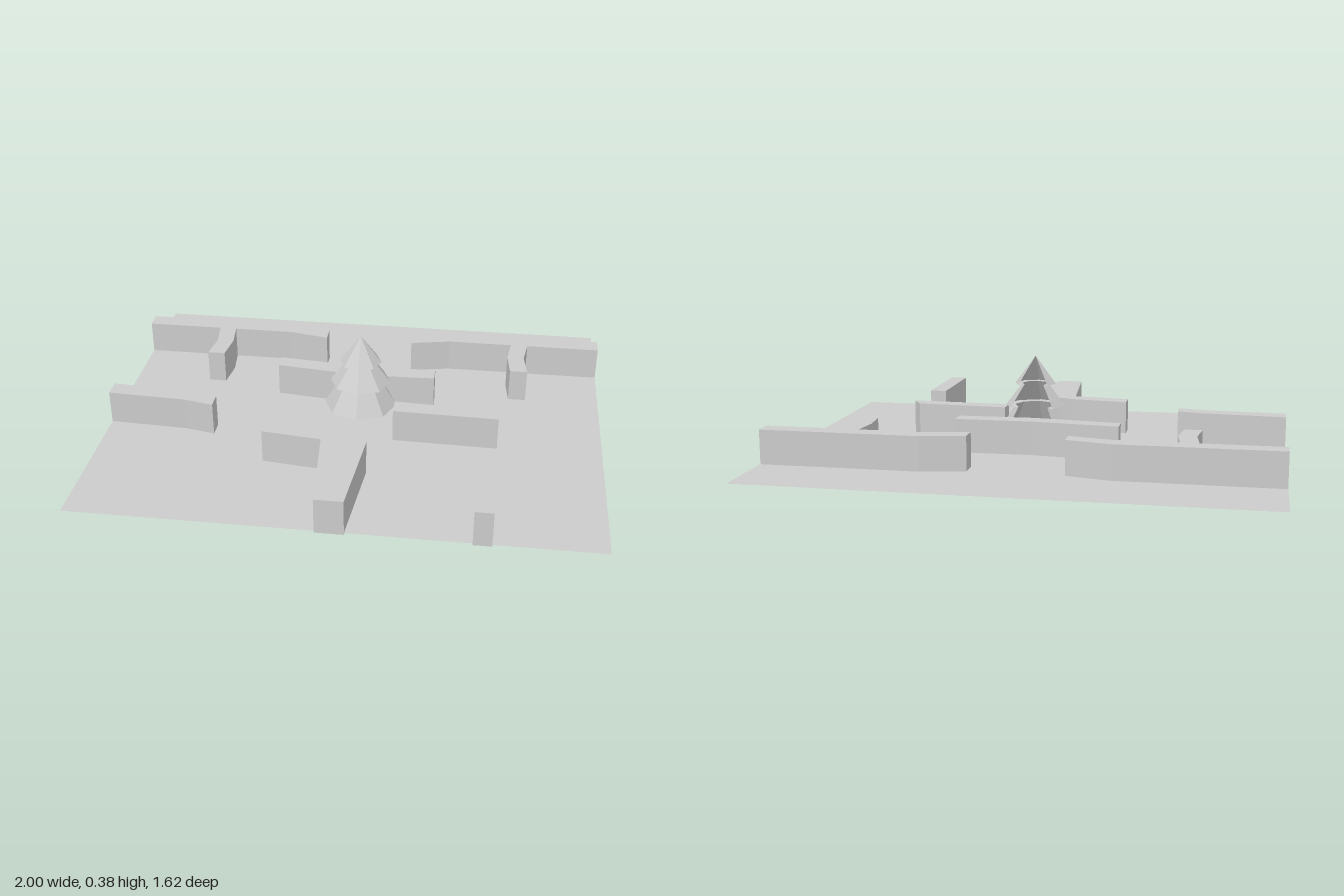
import * as THREE from 'three';

const grey = new THREE.MeshStandardMaterial({ color: 0xcccccc, flatShading: true });
const greyOpen = new THREE.MeshStandardMaterial({ color: 0xcccccc, flatShading: true, side: THREE.DoubleSide });

const WALL_HEIGHT = 0.145;

// Upright wall from a floor plan given as [x, z] corners
function wall(name, plan) {
  const shape = new THREE.Shape(plan.map(([x, z]) => new THREE.Vector2(x, -z)));
  const geo = new THREE.ExtrudeGeometry(shape, { depth: WALL_HEIGHT, bevelEnabled: false });
  geo.rotateX(-Math.PI / 2);
  const mesh = new THREE.Mesh(geo, grey);
  mesh.name = name;
  return mesh;
}

export function createModel() {
  const model = new THREE.Group();
  model.name = 'walledGarden';

  // Thin ground sheet
  const ground = new THREE.Mesh(new THREE.PlaneGeometry(2, 1.62).rotateX(-Math.PI / 2), greyOpen);
  ground.name = 'ground';
  ground.position.y = 0.008;
  model.add(ground);

  // Back walls with a bent spur each, mirrored left and right
  for (const [side, s] of [['Left', 1], ['Right', -1]]) {
    const flip = (plan) => plan.map(([x, z]) => [s * x, z]);
    model.add(wall('backWall' + side, flip([
      [0.188, -0.47], [0.365, -0.51], [1, -0.51], [1, -0.435], [0.355, -0.435], [0.188, -0.4],
    ])));
    const shift = s > 0 ? 0.015 : 0;
    model.add(wall('backWallSpur' + side, flip([
      [0.608, -0.436], [0.595, -0.32], [0.608, -0.203], [0.68, -0.203], [0.665, -0.32], [0.68, -0.436],
    ].map(([x, z]) => [x + shift, z]))));
  }

  // Free-standing walls
  model.add(wall('middleWall', [
    [-0.355, -0.2], [0, -0.165], [0.31, -0.17], [0.31, -0.1], [0, -0.09], [-0.355, -0.13],
  ]));
  model.add(wall('rightSideWall', [
    [-1, 0.11], [-0.67, 0.13], [-0.56, 0.155], [-0.56, 0.225], [-0.68, 0.2], [-1, 0.185],
  ]));
  model.add(wall('leftSideWall', [[0.165, 0.105], [0.545, 0.125], [0.585, 0.19], [0.165, 0.18]]));
  model.add(wall('frontCornerWall', [
    [-0.325, 0.315], [-0.085, 0.348], [0.088, 0.42], [0.055, 0.81],
    [-0.055, 0.81], [-0.088, 0.42], [-0.325, 0.393],
  ]));
  model.add(wall('frontShortWall', [[0.515, 0.44], [0.585, 0.44], [0.585, 0.81], [0.515, 0.81]]));

  // Three-tier fir tree shell, left open at the back
  const profile = [
    [0.148, 0.075], [0.085, 0.18], [0.123, 0.18], [0.055, 0.27], [0.085, 0.27], [0, 0.384],
  ].map(([r, y]) => new THREE.Vector2(r, y));
  const tree = new THREE.Mesh(
    new THREE.LatheGeometry(profile, 6, -Math.PI * 0.75, Math.PI * 1.5), greyOpen);
  tree.name = 'firTree';
  tree.position.set(0.015, 0, 0.012);
  model.add(tree);

  return model;
}
